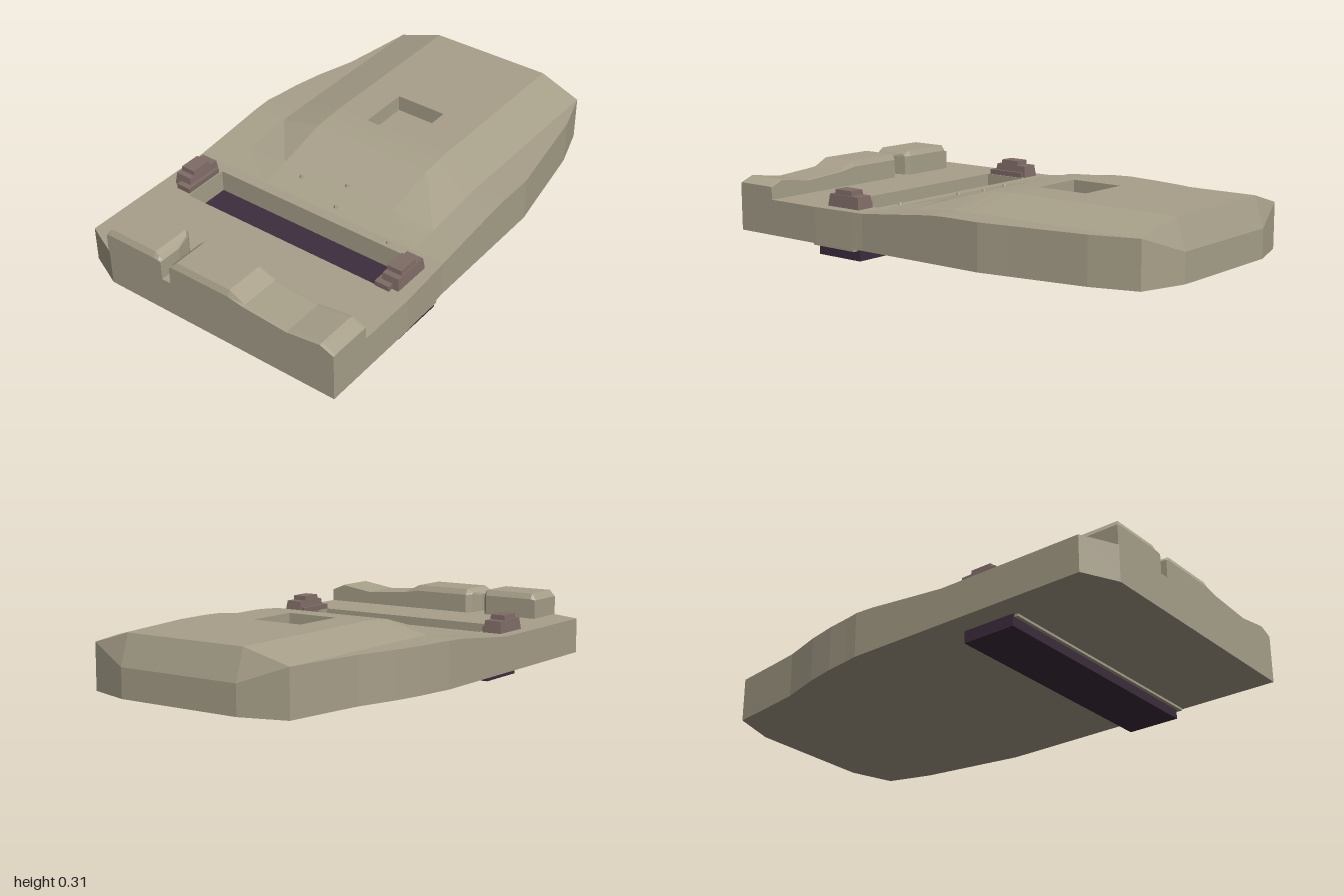
import * as THREE from 'three';

const khaki = new THREE.MeshStandardMaterial({ name: 'khaki hull', color: 0xa8a08a, flatShading: true });
const mauve = new THREE.MeshStandardMaterial({ name: 'mauve brown', color: 0x7f6b66, flatShading: true });
const plum = new THREE.MeshStandardMaterial({ name: 'dark plum', color: 0x3d2d3d, flatShading: true });

// Collects quads and triangles, leaving out collapsed ones
function surface() {
  const pos = [];
  const tri = (a, b, c) => {
    const ab = new THREE.Vector3().subVectors(b, a), ac = new THREE.Vector3().subVectors(c, a);
    if (ab.cross(ac).length() > 1e-7) for (const p of [a, b, c]) pos.push(p.x, p.y, p.z);
  };
  return {
    quad(a, b, c, d) { tri(a, b, c); tri(a, c, d); },
    mesh(name, material) {
      const g = new THREE.BufferGeometry();
      g.setAttribute('position', new THREE.Float32BufferAttribute(pos, 3));
      g.computeVertexNormals();
      const m = new THREE.Mesh(g, material);
      m.name = name;
      return m;
    },
  };
}
const V = (x, y, z) => new THREE.Vector3(x, y, z);
const atY = (p, y) => V(p.x, y, p.z);

// Hull stations: z, left x, right x, edge height, crown height
const stations = [
  [-0.95, -0.47, 0.46, 0.24, 0.295], [-0.75, -0.497, 0.52, 0.24, 0.295],
  [-0.6, -0.52, 0.545, 0.24, 0.295], [-0.43, -0.57, 0.573, 0.24, 0.295],
  [-0.3, -0.597, 0.595, 0.24, 0.295], [-0.2, -0.61, 0.595, 0.24, 0.295],
  [-0.14, -0.62, 0.595, 0.24, 0.292], [-0.06, -0.62, 0.595, 0.237, 0.286],
  [0.17, -0.62, 0.595, 0.213, 0.225], [0.3, -0.62, 0.595, 0.2, 0.2],
  [0.345, -0.62, 0.598, 0.2, 0.2], [0.55, -0.62, 0.61, 0.2, 0.2],
  [0.93, -0.62, 0.61, 0.2, 0.2], [1, -0.47, 0.61, 0.2, 0.2],
];
const columns = [-0.47, -0.28, -0.13, 0.1, 0.27, 0.46];

function hull() {
  const s = surface();
  const grid = stations.map(([z, xl, xr, edge, crown], i) =>
    [xl, ...columns, xr].map((x, j) => {
      const inner = j >= 2 && j <= 5;
      const zz = i > 0 ? z : inner ? -0.96 : -0.94;
      return V(x, inner ? crown : edge, zz);
    }));
  // Sloping tail bevel
  grid.unshift(grid[0].map((p, j) => (j >= 2 && j <= 5 ? V(p.x, 0.17, -1) : p.clone())));

  // Floor height of the square recess and the crosswise slot
  const rows = grid.length - 1, cols = grid[0].length - 1;
  const floorOf = (i, j) => {
    if ((i === 4 || i === 5) && j === 3) return 0.225;
    if (i === 11 && j >= 1 && j <= 5) return 0.1;
    return null;
  };
  for (let i = 0; i < rows; i++) {
    for (let j = 0; j < cols; j++) {
      const c = [grid[i][j], grid[i + 1][j], grid[i + 1][j + 1], grid[i][j + 1]];
      const near = [[i, j - 1], [i + 1, j], [i, j + 1], [i - 1, j]];
      const f = floorOf(i, j);
      if (f === null) s.quad(...c);
      else s.quad(...c.map((p) => atY(p, f)));
      s.quad(...c.map((p) => atY(p, 0.05)).reverse());
      near.forEach(([ni, nj], k) => {
        const p = c[k], q = c[(k + 1) % 4];
        const outside = ni < 0 || nj < 0 || ni >= rows || nj >= cols;
        if (outside) s.quad(p, atY(p, 0.05), atY(q, 0.05), q);
        else if (f !== null && floorOf(ni, nj) === null) s.quad(q, atY(q, f), atY(p, f), p);
      });
    }
  }
  return s.mesh('hull', khaki);
}

// Front ridge block lofted along x: x, shoulder height, top height, rear z
function ridge(name, sections) {
  const s = surface();
  const rings = sections.map(([x, sh, top, back]) => [
    V(x, 0.2, 1), V(x, sh, 1), V(x, top, 0.988), V(x, top, back + 0.012), V(x, sh, back), V(x, 0.2, back),
  ]);
  for (let i = 0; i + 1 < rings.length; i++)
    for (let k = 0; k < 5; k++) s.quad(rings[i][k], rings[i + 1][k], rings[i + 1][k + 1], rings[i][k + 1]);
  const cap = (r, flip) => {
    for (const [a, b, c, d] of [[0, 1, 4, 5], [1, 2, 3, 4]])
      s.quad(...(flip ? [r[d], r[c], r[b], r[a]] : [r[a], r[b], r[c], r[d]]));
  };
  cap(rings[0], false);
  cap(rings[rings.length - 1], true);
  return s.mesh(name, khaki);
}

function box(name, material, [x0, x1], [y0, y1], [z0, z1], taperX = 1, taperZ = 1) {
  const g = new THREE.BoxGeometry(x1 - x0, y1 - y0, z1 - z0);
  const p = g.attributes.position;
  for (let i = 0; i < p.count; i++)
    if (p.getY(i) > 0) { p.setX(i, p.getX(i) * taperX); p.setZ(i, p.getZ(i) * taperZ); }
  g.computeVertexNormals();
  const m = new THREE.Mesh(g, material);
  m.name = name;
  m.position.set((x0 + x1) / 2, (y0 + y1) / 2, (z0 + z1) / 2);
  return m;
}

// Slot end clamp; side is -1 or 1, x is the inner face
function clamp(name, side, x, dz) {
  const g = new THREE.Group();
  g.name = name;
  const span = (a, b) => [x + side * a, x + side * b].sort((m, n) => m - n);
  g.add(
    box('clampFoot', mauve, span(0, 0.065), [0.19, 0.222], [0.36 + dz, 0.54 + dz]),
    box('clampHousing', mauve, span(0.01, 0.095), [0.19, 0.25], [0.345 + dz, 0.52 + dz], 0.85, 0.9),
    box('clampHead', mauve, span(0.012, 0.09), [0.2, 0.27], [0.39 + dz, 0.49 + dz], 0.8, 0.9),
  );
  return g;
}

export function createModel() {
  const model = new THREE.Group();
  model.name = 'hullSection';
  model.add(
    hull(),
    ridge('rightFrontBlock', [
      [-0.475, 0.28, 0.281, 0.81], [-0.455, 0.285, 0.309, 0.81], [-0.23, 0.285, 0.309, 0.81],
      [-0.212, 0.284, 0.296, 0.83], [-0.198, 0.28, 0.281, 0.9],
    ]),
    ridge('leftFrontBlock', [
      [-0.157, 0.275, 0.277, 0.9], [-0.145, 0.28, 0.29, 0.83], [-0.125, 0.28, 0.305, 0.81],
      [0.13, 0.28, 0.305, 0.81], [0.2, 0.268, 0.27, 0.81], [0.4, 0.254, 0.256, 0.81],
      [0.55, 0.276, 0.278, 0.81], [0.61, 0.252, 0.254, 0.81],
    ]),
    // Bar under the hull and the strip showing in the slot
    box('underBar', plum, [-0.52, 0.58], [0, 0.05], [0.33, 0.56]),
    box('underBarSeat', khaki, [-0.51, 0.6], [0.04, 0.052], [0.345, 0.575]),
    box('slotStrip', plum, [-0.468, 0.458], [0.098, 0.107], [0.347, 0.548]),
    clamp('rightClamp', -1, -0.475, 0),
    clamp('leftClamp', 1, 0.46, 0.015),
  );
  // Small studs on the slope
  for (const [x, y, z] of [[-0.165, 0.22, 0.2], [0.03, 0.23, 0.15], [0.06, 0.207, 0.265], [0.355, 0.2, 0.32]]) {
    const stud = new THREE.Mesh(new THREE.CylinderGeometry(0.008, 0.014, 0.02, 6), khaki);
    stud.name = 'stud';
    stud.position.set(x, y, z);
    model.add(stud);
  }
  return model;
}
